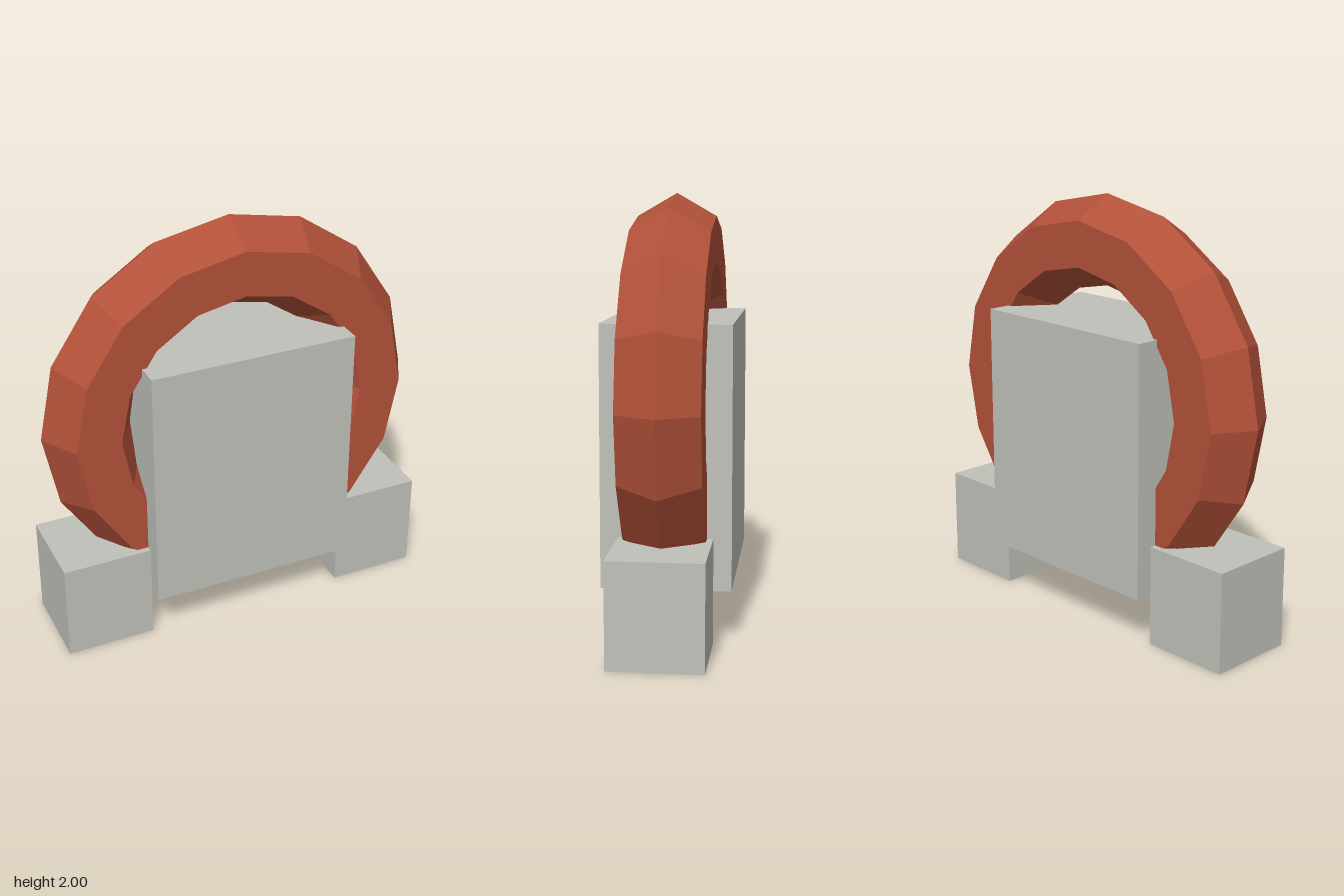
import * as THREE from 'three';

export function createModel() {
  const model = new THREE.Group();
  const red = new THREE.MeshStandardMaterial({ color: 0xb25139, flatShading: true });
  red.name = 'brick red';
  const grey = new THREE.MeshStandardMaterial({ color: 0xc1c1bb, flatShading: true });
  grey.name = 'stone grey';

  const add = (name, geometry, material, x, y, z = 0) => {
    const mesh = new THREE.Mesh(geometry, material);
    mesh.name = name;
    mesh.position.set(x, y, z);
    model.add(mesh);
  };

  // Upright ring: hexagonal section, sixteen segments
  add('ring', new THREE.TorusGeometry(0.713, 0.213, 6, 16), red, 0, 1.074);

  // Block through the ring
  add('centreBlock', new THREE.BoxGeometry(1, 1.19, 0.59), grey, 0, 0.835);

  // Feet on both sides
  for (const [name, side] of [['leftFoot', 1], ['rightFoot', -1]]) {
    add(name, new THREE.BoxGeometry(0.426, 0.477, 0.426), grey, side * 0.713, 0.2385);
  }
  return model;
}
